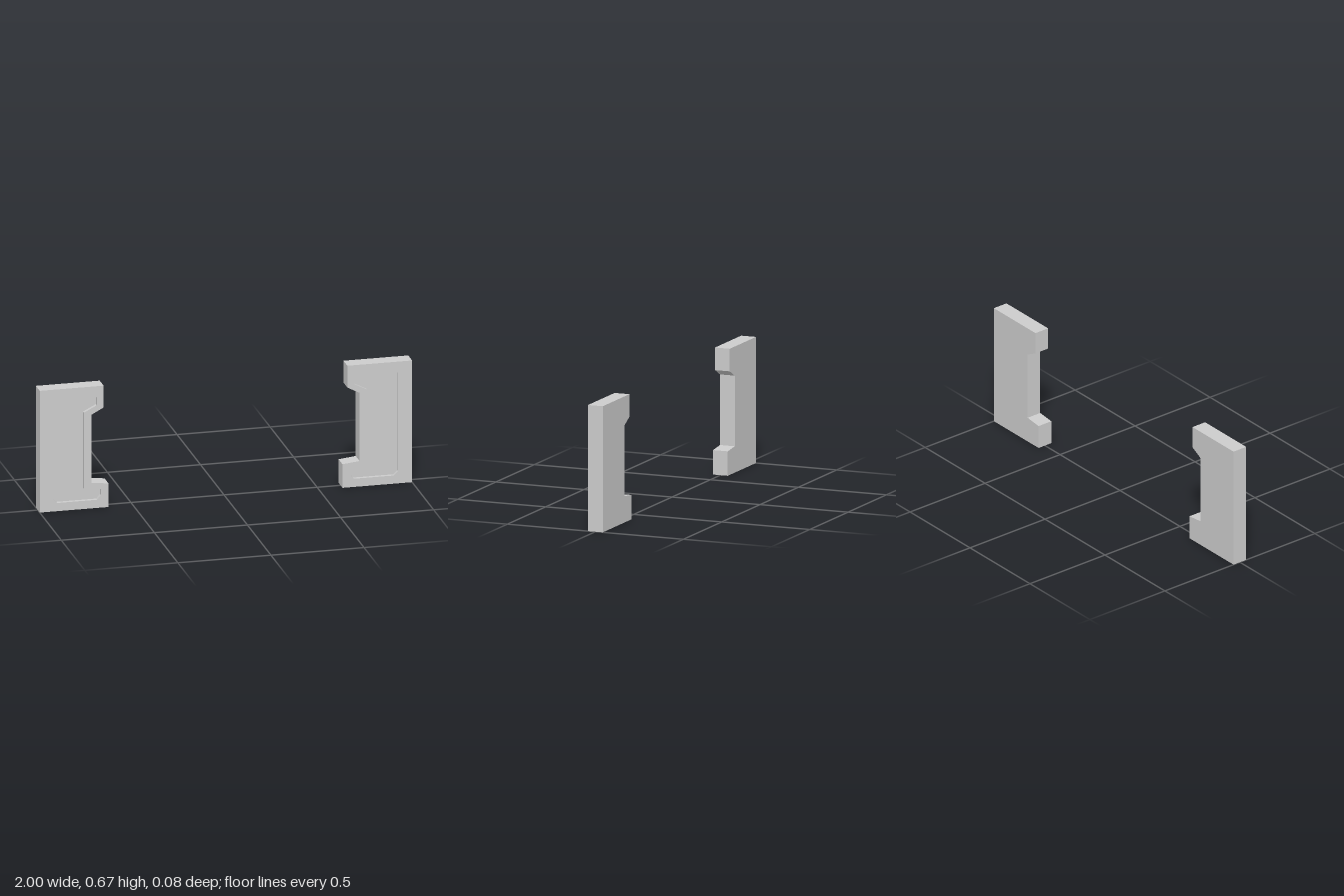
import * as THREE from 'three';
import { mergeGeometries } from 'three/addons/utils/BufferGeometryUtils.js';

const FRONT = 0.042, BACK = -0.042, FLOOR = 0.022;

// Profiles as [distance in from the outer edge, height], counter-clockwise
const OUTLINE = [
  [0, 0], [0.369, 0], [0.369, 0.13], [0.277, 0.14],
  [0.277, 0.515], [0.343, 0.55], [0.343, 0.67], [0, 0.67],
];
const RECESS = [
  [0.07, 0.068], [0.093, 0.045], [0.308, 0.045], [0.328, 0.07], [0.328, 0.102], [0.237, 0.112],
  [0.237, 0.53], [0.306, 0.565], [0.306, 0.607], [0.283, 0.63], [0.093, 0.63], [0.07, 0.607],
];

// Place a profile on one side of the model, keeping it counter-clockwise
function place(profile, side, widen) {
  const pts = profile.map(([d, y]) => new THREE.Vector2(side * (1 - (d > 0 ? d + widen : 0)), y));
  return side > 0 ? pts.reverse() : pts;
}

// Flat face towards +z
function face(points, z, hole) {
  const shape = new THREE.Shape(points);
  if (hole) shape.holes.push(new THREE.Path(hole));
  return new THREE.ShapeGeometry(shape).translate(0, 0, z);
}

// Flat-sided wall along a closed loop, facing out of a counter-clockwise loop
function walls(points, z0, z1) {
  return points.map((a, i) => {
    const b = points[(i + 1) % points.length];
    const quad = new THREE.PlaneGeometry(1, 1);
    const pos = quad.attributes.position;
    pos.setXYZ(0, a.x, a.y, z1);
    pos.setXYZ(1, b.x, b.y, z1);
    pos.setXYZ(2, a.x, a.y, z0);
    pos.setXYZ(3, b.x, b.y, z0);
    quad.computeVertexNormals();
    return quad;
  });
}

function sidePanel(name, side, widen, material) {
  const outline = place(OUTLINE, side, widen);
  const recess = place(RECESS, side, widen);
  const mirrored = outline.map((p) => new THREE.Vector2(-p.x, p.y));
  const mesh = new THREE.Mesh(mergeGeometries([
    face(outline, FRONT, recess),               // raised front border
    face(recess, FLOOR),                        // sunken floor
    face(mirrored, -BACK).rotateY(Math.PI),     // plain back
    ...walls(outline, BACK, FRONT),             // outer edges
    ...walls([...recess].reverse(), FLOOR, FRONT), // recess edges
  ]), material);
  mesh.name = name;
  return mesh;
}

export function createModel() {
  const group = new THREE.Group();
  group.name = 'bracketPanels';
  const material = new THREE.MeshStandardMaterial({ color: 0xcccccc });
  group.add(sidePanel('rightPanel', -1, 0, material));
  group.add(sidePanel('leftPanel', 1, 0.005, material));
  return group;
}
